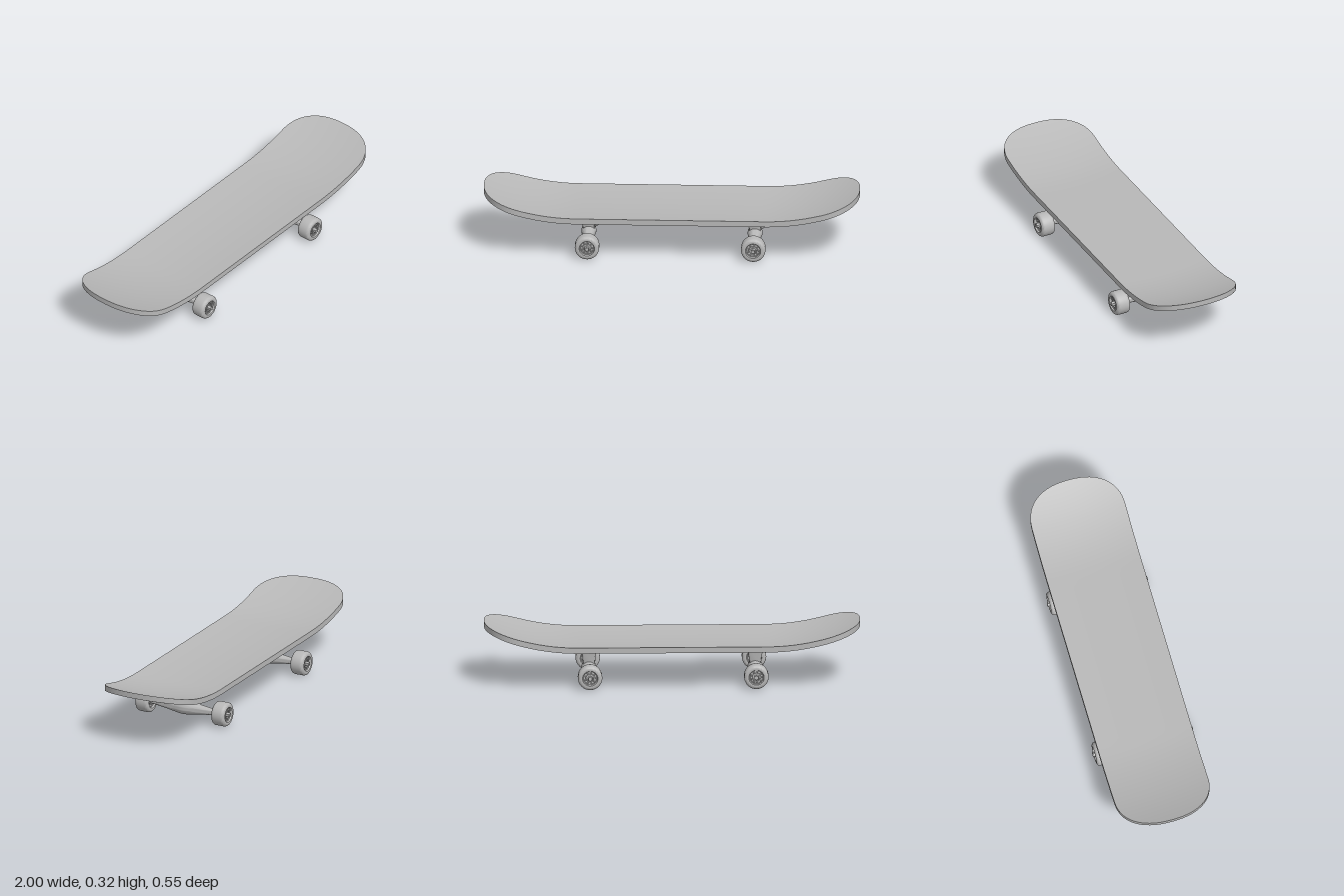
import * as THREE from 'three';
import { toCreasedNormals } from 'three/addons/utils/BufferGeometryUtils.js';

const grey = new THREE.MeshStandardMaterial({ color: 0xb8b8b8 });
grey.name = 'grey';

function add(parent, name, geometry) {
  const mesh = new THREE.Mesh(geometry, grey);
  mesh.name = name;
  parent.add(mesh);
  return mesh;
}

// Turned shape along z, from [z, radius] pairs in rising z
function turned(profile, crease = 0.7, sides = 40) {
  const points = profile.map(([z, r]) => new THREE.Vector2(r, z));
  return toCreasedNormals(new THREE.LatheGeometry(points, sides).rotateX(Math.PI / 2), crease);
}

// Deck: closed cross-sections swept along x, dished across and kicked up at both ends
function deckGeometry() {
  const stations = [];
  const power = 2 / 2.3;
  for (let i = -20; i <= 20; i++) stations.push([i * 0.04, 1]);
  for (let i = 1; i <= 20; i++) {
    const a = (i / 20) * Math.PI / 2;
    const x = 0.8 + 0.2 * Math.sin(a) ** power;
    const w = i === 20 ? 0 : Math.cos(a) ** power;
    stations.push([x, w]);
    stations.unshift([-x, w]);
  }
  const across = 16, ring = 2 * (across + 1);
  const positions = [], indices = [];
  for (const [x, w] of stations) {
    const rise = 0.107 * (Math.max(0, Math.abs(x) - 0.5) / 0.5) ** 2;
    for (let k = 0; k < ring; k++) {
      const top = k <= across;
      const v = ((top ? k : ring - 1 - k) / across * 2 - 1) * w;
      positions.push(x, 0.185 + rise + 0.015 * v * v + (top ? 0.031 : 0), 0.258 * v);
    }
  }
  for (let s = 0; s < stations.length - 1; s++) {
    for (let k = 0; k < ring; k++) {
      const a = s * ring + k, b = s * ring + (k + 1) % ring;
      indices.push(a, b, a + ring, b, b + ring, a + ring);
    }
  }
  const geometry = new THREE.BufferGeometry();
  geometry.setAttribute('position', new THREE.Float32BufferAttribute(positions, 3));
  geometry.setIndex(indices);
  return toCreasedNormals(geometry, 0.7);
}

// Upright block with rounded corners, narrowing toward its foot
function taperedBlock(halfX, halfZ, radius, y0, y1, footScale) {
  const shape = new THREE.Shape();
  const corners = [[1, 1, 0], [-1, 1, 1], [-1, -1, 2], [1, -1, 3]];
  for (const [sx, sz, quarter] of corners) {
    shape.absarc(sx * (halfX - radius), sz * (halfZ - radius), radius,
      quarter * Math.PI / 2, (quarter + 1) * Math.PI / 2, false);
  }
  const geometry = new THREE.ExtrudeGeometry(shape, { depth: y1 - y0, bevelEnabled: false, curveSegments: 5 });
  geometry.rotateX(-Math.PI / 2).translate(0, y0, 0);
  const p = geometry.attributes.position;
  for (let i = 0; i < p.count; i++) {
    const s = footScale + (1 - footScale) * (p.getY(i) - y0) / (y1 - y0);
    p.setX(i, p.getX(i) * s);
    p.setZ(i, p.getZ(i) * s);
  }
  return toCreasedNormals(geometry, 0.6);
}

// Wheel with rounded tread, recessed faces, bearing and axle nut
function buildWheel() {
  const wheel = new THREE.Group();
  wheel.name = 'wheel';
  const half = [
    [0.024, 0], [0.024, 0.019], [0.031, 0.02], [0.031, 0.023], [0.026, 0.024], [0.026, 0.033],
    [0.030, 0.034], [0.030, 0.037], [0.038, 0.041], [0.039, 0.048], [0.0375, 0.055],
    [0.034, 0.0605], [0.028, 0.064], [0.02, 0.065],
  ];
  const back = half.map(([z, r]) => [-z, r]);
  add(wheel, 'tyre', turned([...back, ...half.slice().reverse()]));
  const ball = new THREE.SphereGeometry(0.0042, 10, 8);
  for (let i = 0; i < 9; i++) {
    const a = i / 9 * Math.PI * 2;
    add(wheel, 'bearingBall', ball).position.set(0.0285 * Math.cos(a), 0.0285 * Math.sin(a), 0.027);
  }
  add(wheel, 'axleNut', turned([[0.02, 0], [0.02, 0.0135], [0.045, 0.0135], [0.047, 0.012], [0.047, 0]], 0.5, 6));
  add(wheel, 'axleTip', turned([[0.04, 0], [0.04, 0.007], [0.048, 0.007], [0.048, 0]]));
  return wheel;
}

// Truck: base plate, post, hanger and a pair of wheels
function buildTruck() {
  const truck = new THREE.Group();
  truck.name = 'truck';
  add(truck, 'basePlate', taperedBlock(0.05, 0.04, 0.01, 0.168, 0.179, 1));
  add(truck, 'plateFlange', taperedBlock(0.048, 0.044, 0.011, 0.163, 0.17, 0.94));
  add(truck, 'post', taperedBlock(0.04, 0.042, 0.012, 0.085, 0.165, 0.76));
  const arm = [[0, 0.040], [0.02, 0.0385], [0.045, 0.035], [0.07, 0.031], [0.1, 0.026],
    [0.13, 0.022], [0.16, 0.0185], [0.195, 0.0155], [0.215, 0.0155], [0.215, 0]];
  const mirrored = arm.slice(1).reverse().map(([z, r]) => [-z, r]);
  add(truck, 'hanger', turned([...mirrored, ...arm])).position.y = 0.065;
  for (const side of [1, -1]) {
    const wheel = buildWheel();
    wheel.position.set(0, 0.065, side * 0.229);
    if (side < 0) wheel.rotation.y = Math.PI;
    truck.add(wheel);
  }
  return truck;
}

export function createModel() {
  const model = new THREE.Group();
  model.name = 'skateboard';
  add(model, 'deck', deckGeometry());
  for (const side of [1, -1]) {
    const truck = buildTruck();
    truck.position.x = side * 0.442;
    if (side < 0) truck.rotation.y = Math.PI;
    model.add(truck);
  }
  return model;
}
